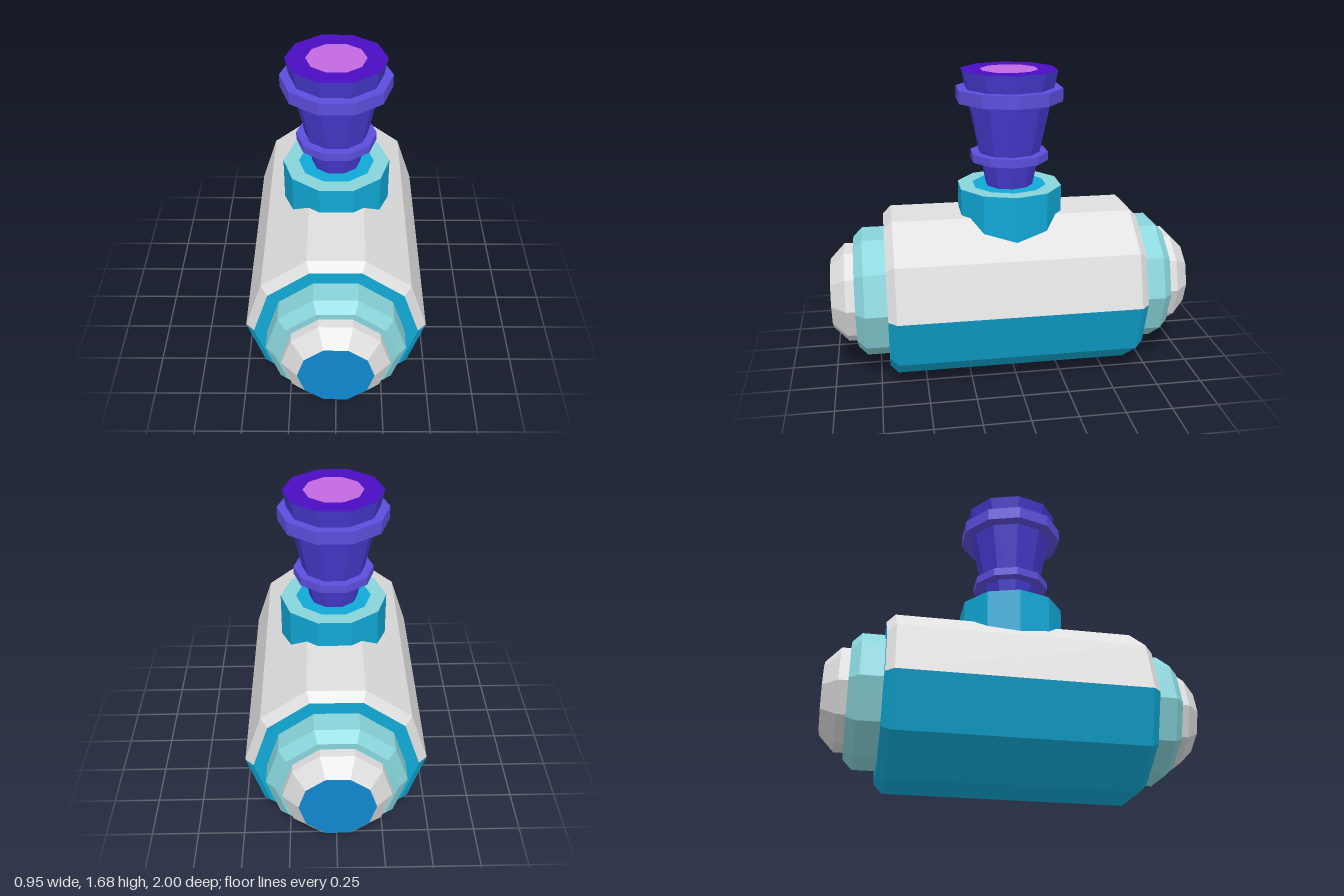
import * as THREE from 'three';

const SIDES = 10;
const AXIS_Y = 0.4525; // height of the barrel's axis

const paint = (name, color) => {
  const m = new THREE.MeshStandardMaterial({ color });
  m.name = name;
  return m;
};

// Faceted ten-sided turning; profile is a list of [radius, height] running upwards or inwards
function turned(name, profile, material, start = Math.PI / 2, sides = SIDES) {
  const points = profile.map(([r, h]) => new THREE.Vector2(r, h));
  const lathe = new THREE.LatheGeometry(points, sides, start, (sides / SIDES) * Math.PI * 2);
  const geometry = lathe.toNonIndexed();
  geometry.computeVertexNormals();
  const mesh = new THREE.Mesh(geometry, material);
  mesh.name = name;
  return mesh;
}

export function createModel() {
  const white = paint('white', 0xdedede);
  const teal = paint('teal', 0x10a8d6);
  const paleTeal = paint('pale teal', 0x88d4da);
  const blue = paint('blue', 0x0f88d0);
  const indigo = paint('indigo', 0x463ad0);
  const lightIndigo = paint('light indigo', 0x5c4edc);
  const violet = paint('violet', 0x4a0dc2);
  const orchid = paint('orchid', 0xc269e0);

  const model = new THREE.Group();
  model.name = 'canister';

  // Barrel lying along z, with a white upper half and a teal lower half
  const barrel = new THREE.Group();
  barrel.name = 'barrel';
  barrel.position.y = AXIS_Y;
  barrel.rotation.x = Math.PI / 2;
  const shell = [[0.43, -0.7], [0.475, -0.655], [0.475, 0.655], [0.43, 0.7]];
  barrel.add(
    turned('upperShell', shell, white, Math.PI / 2, SIDES / 2),
    turned('lowerShell', shell, teal, -Math.PI / 2, SIDES / 2)
  );
  model.add(barrel);

  // Stepped cap at each end
  for (const [name, turn] of [['frontCap', 0], ['backCap', Math.PI]]) {
    const cap = new THREE.Group();
    cap.name = name;
    const parts = new THREE.Group();
    parts.name = name + 'Parts';
    parts.rotation.x = Math.PI / 2;
    parts.add(
      turned('endPlate', [[0.43, 0.7], [0.35, 0.7]], teal),
      turned('capCollar', [[0.36, 0.7], [0.36, 0.82], [0.31, 0.87], [0.27, 0.87]], paleTeal),
      turned('capNose', [[0.275, 0.87], [0.275, 0.92], [0.193, 1]], white),
      turned('capDisc', [[0.193, 1], [0, 1]], blue)
    );
    cap.add(parts);
    cap.position.y = AXIS_Y;
    cap.rotation.y = turn;
    model.add(cap);
  }

  // Socket rising out of the barrel
  model.add(
    turned('socketWall', [[0.29, 0.76], [0.29, 1.05]], teal),
    turned('socketRim', [[0.29, 1.05], [0.205, 1.05]], paleTeal),
    turned('socketFloor', [[0.205, 1.05], [0, 1.05]], teal)
  );

  // Flared stem with two bands and a lens on top
  model.add(
    turned('stem', [[0.13, 1.05], [0.263, 1.68]], indigo),
    turned('stemTop', [[0.263, 1.68], [0.157, 1.68]], violet),
    turned('stemLens', [[0.157, 1.68], [0, 1.68]], orchid)
  );
  for (const [name, r, low, high] of [['lowerBand', 0.215, 1.19, 1.235], ['upperBand', 0.292, 1.515, 1.585]]) {
    model.add(turned(name, [[0.14, low], [r, low], [r, high], [0.14, high]], lightIndigo));
  }

  return model;
}
